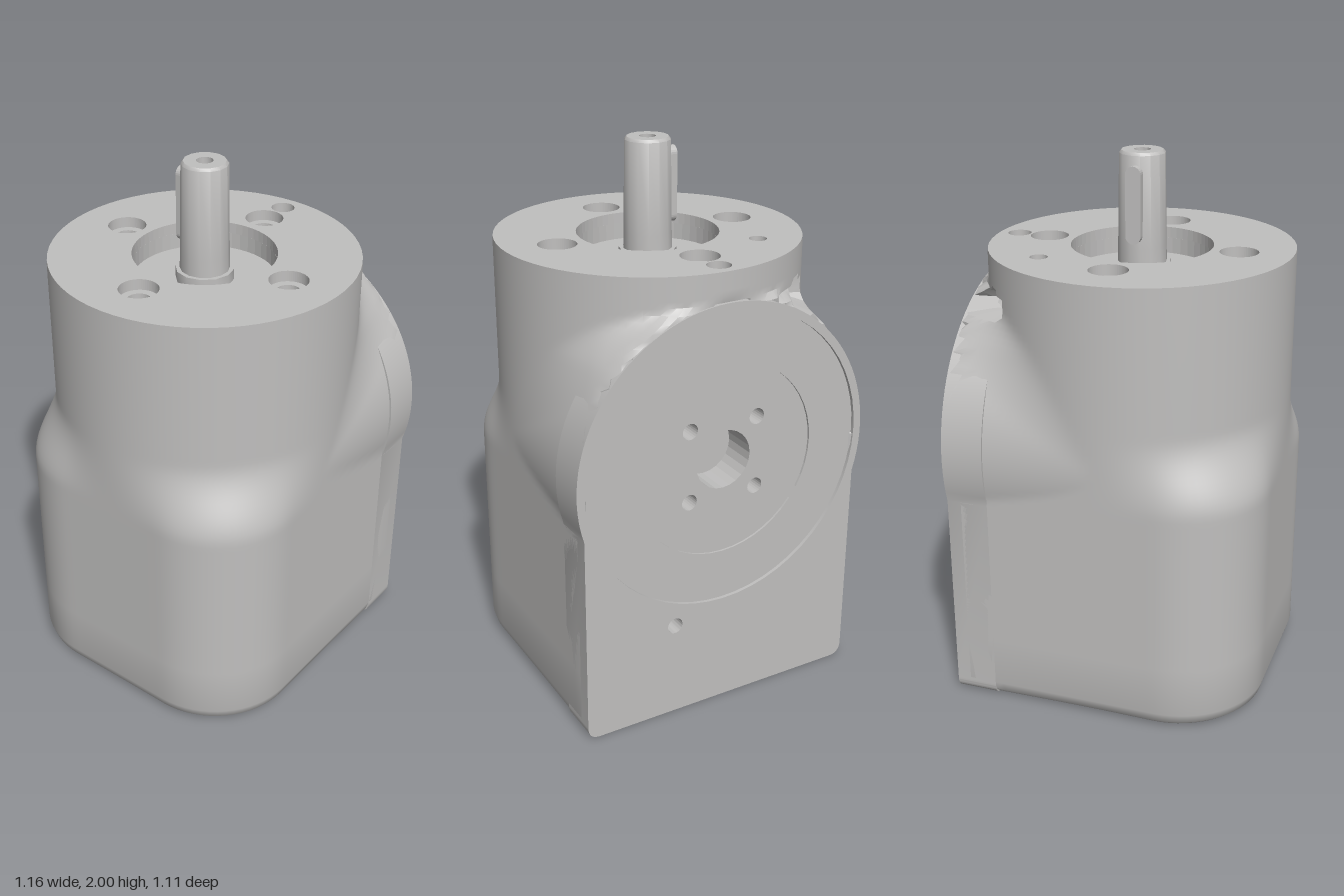
import * as THREE from 'three';
import { toCreasedNormals } from 'three/addons/utils/BufferGeometryUtils.js';

const HALF = 0.555, DISC_Y = 0.97, DISC_R = 0.58, TOP = 1.66;

export function createModel() {
  const group = new THREE.Group();
  const metal = new THREE.MeshStandardMaterial({ color: 0xc0bfbe });
  metal.name = 'castGrey';

  const add = (name, geometry, x = 0, y = 0, z = 0) => {
    const mesh = new THREE.Mesh(geometry, metal);
    mesh.name = name;
    mesh.position.set(x, y, z);
    group.add(mesh);
    return mesh;
  };
  const disc = (r, x = 0, y = 0) => {
    const s = new THREE.Shape();
    s.absarc(x, y, r, 0, Math.PI * 2, false);
    return s;
  };
  const withHoles = (shape, holes) => {
    holes.forEach(([x, y, r]) => shape.holes.push(disc(r, x, y)));
    return shape;
  };
  const extrude = (shape, depth, curveSegments = 16) =>
    new THREE.ExtrudeGeometry(shape, { depth, bevelEnabled: false, curveSegments });
  // horizontal slab: shape x stays x, shape y becomes -z
  const slab = (name, shape, y0, y1, seg) =>
    add(name, extrude(shape, y1 - y0, seg).rotateX(-Math.PI / 2), 0, y0, 0);

  add('housing', housingGeometry());

  // Top deck: counterbored screw holes, shaft well and small pin holes
  const bolts = [[0.36, 0], [-0.36, 0], [0, 0.36], [0, -0.36]];
  const pins = [[0, 0.48, 0.043], [-0.285, 0.285, 0.032]];
  const well = [0, 0, 0.258];
  slab('topDeck', withHoles(disc(0.554), [...bolts.map(([x, y]) => [x, y, 0.07]), ...pins, well]), 1.62, TOP, 32);
  slab('topDeckStep', withHoles(disc(0.535), [...bolts.map(([x, y]) => [x, y, 0.042]), ...pins, well]), 1.56, 1.62, 24);
  slab('wellFloor', disc(0.53), 1.545, 1.56, 24);

  // Output shaft with centre bore, collar and key
  const lathe = (pts, seg) => toCreasedNormals(
    new THREE.LatheGeometry(pts.map(p => new THREE.Vector2(...p)), seg), 0.75);
  add('shaft', lathe([[0.09, 1.55], [0.088, TOP], [0.083, 1.99], [0.075, 2],
    [0.03, 2], [0.03, 1.94], [0, 1.94]], 14));
  add('shaftCollar', lathe([[0.105, 1.55], [0.105, 1.6], [0.08, 1.6]], 12));
  const keyShape = new THREE.Shape();
  keyShape.absarc(0, 0.11, 0.028, 0, Math.PI, false);
  keyShape.absarc(0, -0.11, 0.028, Math.PI, Math.PI * 2, false);
  add('shaftKey', extrude(keyShape, 0.05, 6).rotateY(-Math.PI / 2), -0.056, 1.82, 0);

  // Back plate: flat lower face merged with the round flange
  const a = Math.acos(HALF / DISC_R);
  const plate = new THREE.Shape();
  plate.moveTo(-HALF + 0.05, 0);
  plate.lineTo(HALF - 0.05, 0);
  plate.quadraticCurveTo(HALF, 0, HALF, 0.05);
  plate.lineTo(HALF, DISC_Y - DISC_R * Math.sin(a));
  plate.absarc(0, DISC_Y, DISC_R, -a, Math.PI + a, false);
  plate.lineTo(-HALF, 0.05);
  plate.quadraticCurveTo(-HALF, 0, -HALF + 0.05, 0);
  withHoles(plate, [[0, DISC_Y, 0.55], [0.2, 0.365, 0.03]]);
  add('backPlate', toCreasedNormals(extrude(plate, 0.155, 28), 0.5), 0, 0, -HALF);

  // Stepped flange face with bore and four bolt holes
  add('flangeRing', extrude(withHoles(disc(0.555), [[0, 0, 0.36]]), 0.14, 24), 0, DISC_Y, -0.542);
  const hubHoles = [[0, 0, 0.11]];
  for (const x of [-0.135, 0.135]) for (const y of [-0.135, 0.135]) hubHoles.push([x, y, 0.03]);
  add('flangeHub', extrude(withHoles(disc(0.365), hubHoles), 0.132, 12), 0, DISC_Y, -0.534);

  // Underside: rim, inset cover and corner screw pockets
  const rim = uShape(0.5, 0.28, 0.002);
  rim.holes.push(uShape(0.46, 0.2, 0.06));
  slab('bottomRim', rim, 0, 0.05, 8);
  const pockets = [];
  for (const x of [-0.35, 0.35]) for (const y of [-0.35, 0.35]) pockets.push([x, y, 0.078]);
  slab('bottomCover', withHoles(uShape(0.47, 0.21, 0.05), [...pockets, [0, 0, 0.07], [0, 0.43, 0.025]]), 0.018, 0.08, 6);
  slab('pocketFloor', uShape(0.47, 0.25, 0.05), 0.08, 0.09, 6);
  for (const [x, y] of pockets)
    add('coverScrew', new THREE.CylinderGeometry(0.045, 0.04, 0.035, 10), x, 0.063, -y);
  add('centreStud', new THREE.CylinderGeometry(0.05, 0.045, 0.05, 12), 0, 0.055, 0);
  return group;
}

// Plan outline with large front corners and small back corners (shape y = -z)
function uShape(h, front, back) {
  const s = new THREE.Shape();
  s.moveTo(-h + front, -h);
  s.lineTo(h - front, -h);
  s.absarc(h - front, -h + front, front, -Math.PI / 2, 0, false);
  s.lineTo(h, h - back);
  s.absarc(h - back, h - back, back, 0, Math.PI / 2, false);
  s.lineTo(-h + back, h);
  s.absarc(-h + back, h - back, back, Math.PI / 2, Math.PI, false);
  s.lineTo(-h, -h + front);
  s.absarc(-h + front, -h + front, front, Math.PI, Math.PI * 1.5, false);
  return s;
}

// Distance from the axis to the housing wall in direction (c, s) at height y
function wall(c, s, y) {
  const ax = Math.abs(c), az = Math.abs(s);
  let t;
  if (s >= 0) {
    // rounded square below, melting into the cylinder above
    t = Math.min(HALF / Math.max(ax, 1e-6), HALF / Math.max(az, 1e-6));
    const k = 0.225;
    if (t * ax > k && t * az > k) {
      const d = k * (ax + az);
      t = d + Math.sqrt(d * d - 2 * k * k + 0.33 * 0.33);
    }
    t += (HALF - t) * THREE.MathUtils.smoothstep(y, 0.85, 1.12);
  } else {
    // cylinder joined by a fillet to the tapered boss behind the flange
    const zAt = Math.min(HALF / Math.max(ax, 1e-6), HALF / az) * az;
    const r = HALF + 0.045 * zAt, dy = y - DISC_Y;
    let w = Math.sqrt(Math.max(0, r * r - dy * dy));
    if (dy < 0) w = Math.max(w, HALF);
    const boss = Math.min(w / Math.max(ax, 1e-6), HALF / az);
    const k = 0.3 * az * THREE.MathUtils.clamp(dy / 0.4, 0, 1) + 1e-6;
    const h = Math.max(k - Math.abs(HALF - boss), 0) / k;
    t = Math.max(HALF, boss) + h * h * k / 4;
  }
  // rounded bottom edge
  if (y < 0.06) t -= 0.06 - Math.sqrt(0.0036 - (0.06 - y) ** 2);
  return t;
}

function housingGeometry() {
  const rows = [0, 0.008, 0.025, 0.06, 0.25, 0.4, 0.55, 0.7, 0.78];
  for (let i = 0; i <= 40; i++) rows.push(0.8 + (TOP - 0.8) * i / 40);
  const N = 128, pos = [], index = [];
  rows.forEach((y, i) => {
    for (let j = 0; j < N; j++) {
      const th = j / N * Math.PI * 2, c = Math.cos(th), s = Math.sin(th);
      let t = wall(c, s, y);
      if (s < 0) {
        t = Math.min(t, (y > 1.56 ? HALF : 0.55) / -s);
        // keep clear of the flange recess
        const x = Math.abs(t * c);
        const inside = y < DISC_Y ? x < 0.54 : Math.hypot(x, y - DISC_Y) < 0.565;
        if (inside) t = Math.min(t, 0.4 / -s);
        // oblong cable slot above the flange
        const u = (t * c + 0.345) / 0.065, v = (y - 1.49) / 0.045;
        if (!inside && u * u + v * v < 1) t -= 0.08;
      }
      pos.push(c * t, y, s * t);
      if (i < rows.length - 1) {
        const p = i * N + j, q = i * N + (j + 1) % N;
        index.push(p, p + N, q, q, p + N, q + N);
      }
    }
  });
  const g = new THREE.BufferGeometry();
  g.setAttribute('position', new THREE.Float32BufferAttribute(pos, 3));
  g.setIndex(index);
  return toCreasedNormals(g, 0.6);
}
